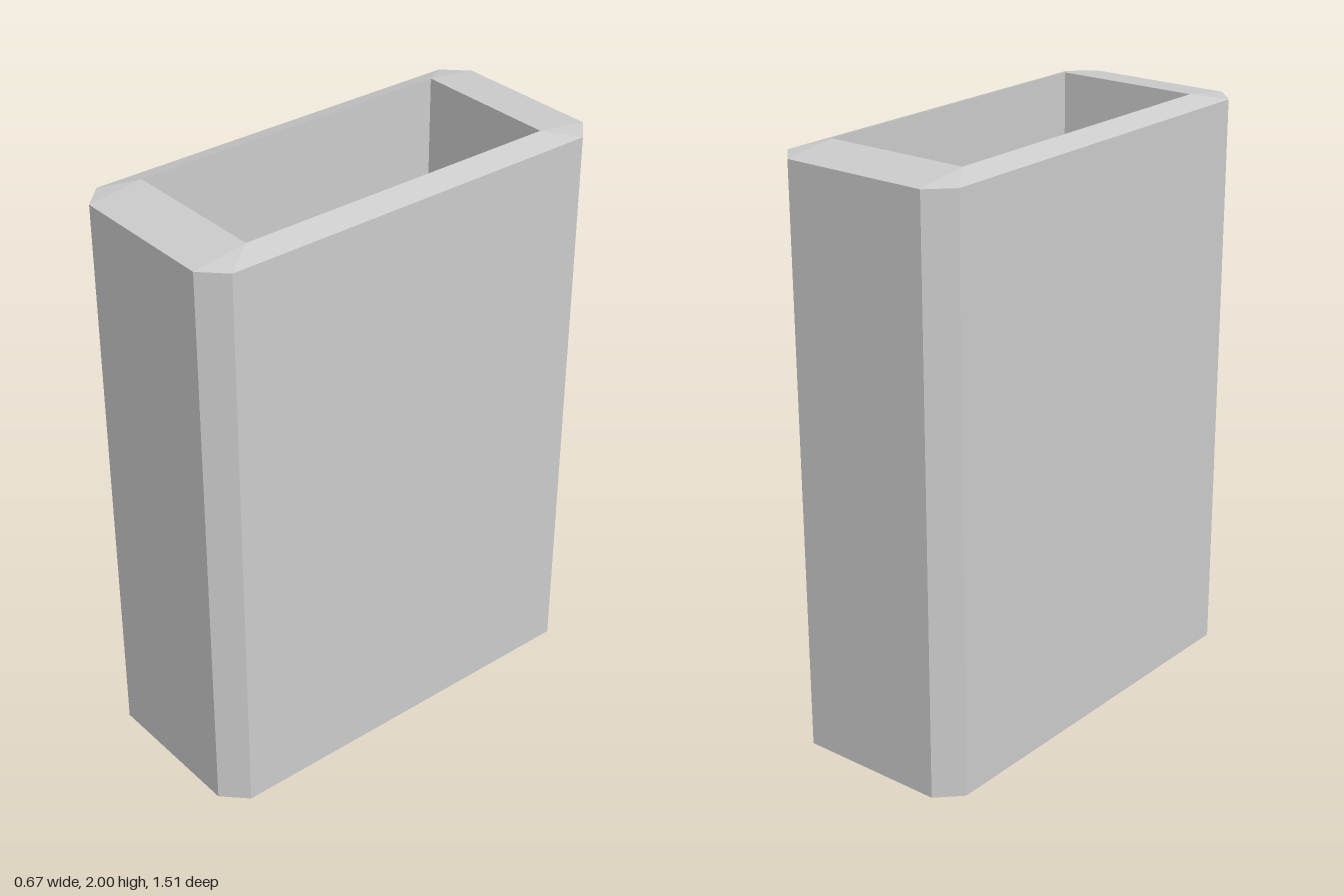
import * as THREE from 'three';

// Eight-point ring, counter-clockwise from above: half width w, half depth d, corner cut c
function ring(w, d, c, y) {
  const corners = [[1, 1], [1, -1], [-1, -1], [-1, 1]];
  return corners.flatMap(([sx, sz], i) => {
    const endCut = new THREE.Vector3(sx * (w - c), y, sz * d);
    const sideCut = new THREE.Vector3(sx * w, y, sz * (d - c));
    return i % 2 ? [sideCut, endCut] : [endCut, sideCut];
  });
}

// Flat-faced skin through successive rings, skipping collapsed triangles
function skin(rings) {
  const points = [];
  const triangle = (a, b, c) => {
    if (new THREE.Triangle(a, b, c).getArea() > 1e-7) points.push(a, b, c);
  };
  for (let r = 0; r < rings.length - 1; r++) {
    const low = rings[r], high = rings[r + 1];
    for (let i = 0; i < low.length; i++) {
      const j = (i + 1) % low.length;
      triangle(low[i], low[j], high[j]);
      triangle(low[i], high[j], high[i]);
    }
  }
  const geometry = new THREE.BufferGeometry().setFromPoints(points);
  geometry.computeVertexNormals();
  return geometry;
}

export function createModel() {
  const group = new THREE.Group();
  group.name = 'openContainer';
  const material = new THREE.MeshStandardMaterial({ color: 0xcccccc, flatShading: true });

  // Underside, outer walls, sloped rim, inner walls and floor
  const floorY = 0.08;
  const container = new THREE.Mesh(skin([
    ring(0, 0, 0, 0),
    ring(0.335, 0.755, 0.077, 0),
    ring(0.335, 0.755, 0.077, 1.975),
    ring(0.255, 0.57, 0, 2),
    ring(0.255, 0.57, 0, floorY),
    ring(0, 0, 0, floorY),
  ]), material);
  container.name = 'containerBody';
  group.add(container);
  return group;
}
